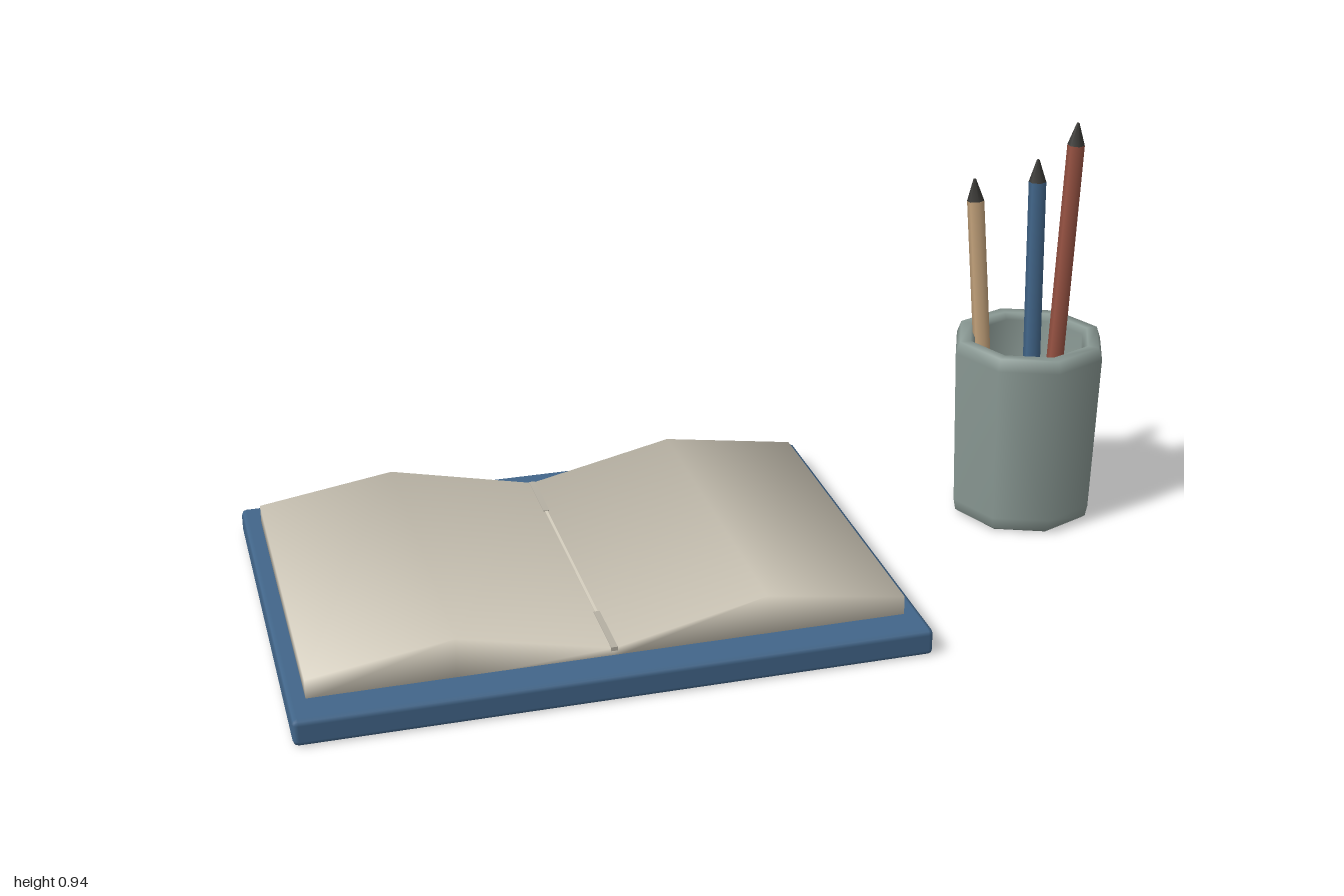
import * as THREE from 'three';
import { RoundedBoxGeometry } from 'three/addons/geometries/RoundedBoxGeometry.js';

const paint = (name, color) => {
  const m = new THREE.MeshStandardMaterial({ color });
  m.name = name;
  return m;
};

function part(parent, name, geometry, material, x = 0, y = 0, z = 0) {
  const mesh = new THREE.Mesh(geometry, material);
  mesh.name = name;
  mesh.position.set(x, y, z);
  parent.add(mesh);
  return mesh;
}

// Open page block: a box bent into two ridges and a valley, softly shaded at its edges
function pagesGeometry() {
  const halfW = 0.64, halfD = 0.41, bottom = 0.055;
  const profile = [[-halfW, 0.102], [-0.333, 0.149], [0, 0.076], [0.333, 0.149], [halfW, 0.102]];
  const geo = new THREE.BoxGeometry(2 * halfW, 1, 2 * halfD, 4, 1, 1);
  const pos = geo.attributes.position, normal = geo.attributes.normal;
  const n = new THREE.Vector3();
  for (let i = 0; i < pos.count; i++) {
    const column = Math.round((pos.getX(i) / halfW + 1) * 2);
    const sy = Math.sign(pos.getY(i)), sz = Math.sign(pos.getZ(i));
    const [x, top] = profile[column];
    pos.setXYZ(i, x, sy > 0 ? top : bottom, pos.getZ(i));
    const sx = column === 0 ? -1 : column === 4 ? 1 : 0;
    n.set(sx, sy, sz).normalize();
    normal.setXYZ(i, n.x, n.y, n.z);
  }
  return geo;
}

// Pencil from its foot in the cup to its tip
function pencil(parent, name, foot, tip, bodyMaterial, leadMaterial) {
  const a = new THREE.Vector3(...foot), b = new THREE.Vector3(...tip);
  const axis = b.clone().sub(a), length = axis.length(), lead = 0.052;
  const group = new THREE.Group();
  group.name = name;
  group.position.copy(a);
  group.quaternion.setFromUnitVectors(new THREE.Vector3(0, 1, 0), axis.normalize());
  const body = length - lead;
  part(group, 'pencilBody', new THREE.CylinderGeometry(0.02, 0.02, body, 6), bodyMaterial, 0, body / 2);
  part(group, 'pencilTip', new THREE.CylinderGeometry(0.003, 0.02, lead, 6), leadMaterial, 0, body + lead / 2);
  parent.add(group);
}

export function createModel() {
  const blue = paint('blue', 0x42668a);
  const paper = paint('paper', 0xd6cfbf);
  const gutterGrey = paint('gutter grey', 0xb5b0a3);
  const stone = paint('grey green', 0x8b9a95);
  const red = paint('brick red', 0x985343);
  const tan = paint('tan', 0xc4a37c);
  const dark = paint('charcoal', 0x383734);

  const model = new THREE.Group();
  model.name = 'deskSet';

  // Open book
  const book = new THREE.Group();
  book.name = 'openBook';
  book.position.x = -0.322;
  model.add(book);
  part(book, 'cover', new RoundedBoxGeometry(1.356, 0.06, 0.99, 1, 0.012), blue, 0, 0.03);
  part(book, 'pages', pagesGeometry(), paper);
  part(book, 'gutterLine', new THREE.BoxGeometry(0.006, 0.012, 0.82), paper, 0, 0.072);
  for (const side of [-1, 1]) {
    part(book, 'gutterEnd', new THREE.BoxGeometry(0.014, 0.009, 0.16), gutterGrey, 0, 0.0745, side * 0.331);
  }

  // Eight-sided pencil cup with a hollow inside
  const cup = new THREE.Group();
  cup.name = 'pencilCup';
  model.add(cup);
  const cupProfile = [
    [0, 0], [0.155, 0], [0.166, 0.008], [0.171, 0.035], [0.182, 0.412], [0.172, 0.44],
    [0.146, 0.44], [0.135, 0.425], [0.125, 0.05], [0, 0.04],
  ].map(([r, y]) => new THREE.Vector2(r, y));
  part(cup, 'cup', new THREE.LatheGeometry(cupProfile, 8), stone, 0.815, 0, -0.132);

  // Three leaning pencils
  pencil(cup, 'redPencil', [0.878, 0.042, -0.144], [0.919, 0.937, -0.16], red, dark);
  pencil(cup, 'bluePencil', [0.808, 0.042, -0.076], [0.808, 0.872, -0.121], blue, dark);
  pencil(cup, 'tanPencil', [0.739, 0.042, -0.154], [0.694, 0.807, -0.213], tan, dark);

  return model;
}
